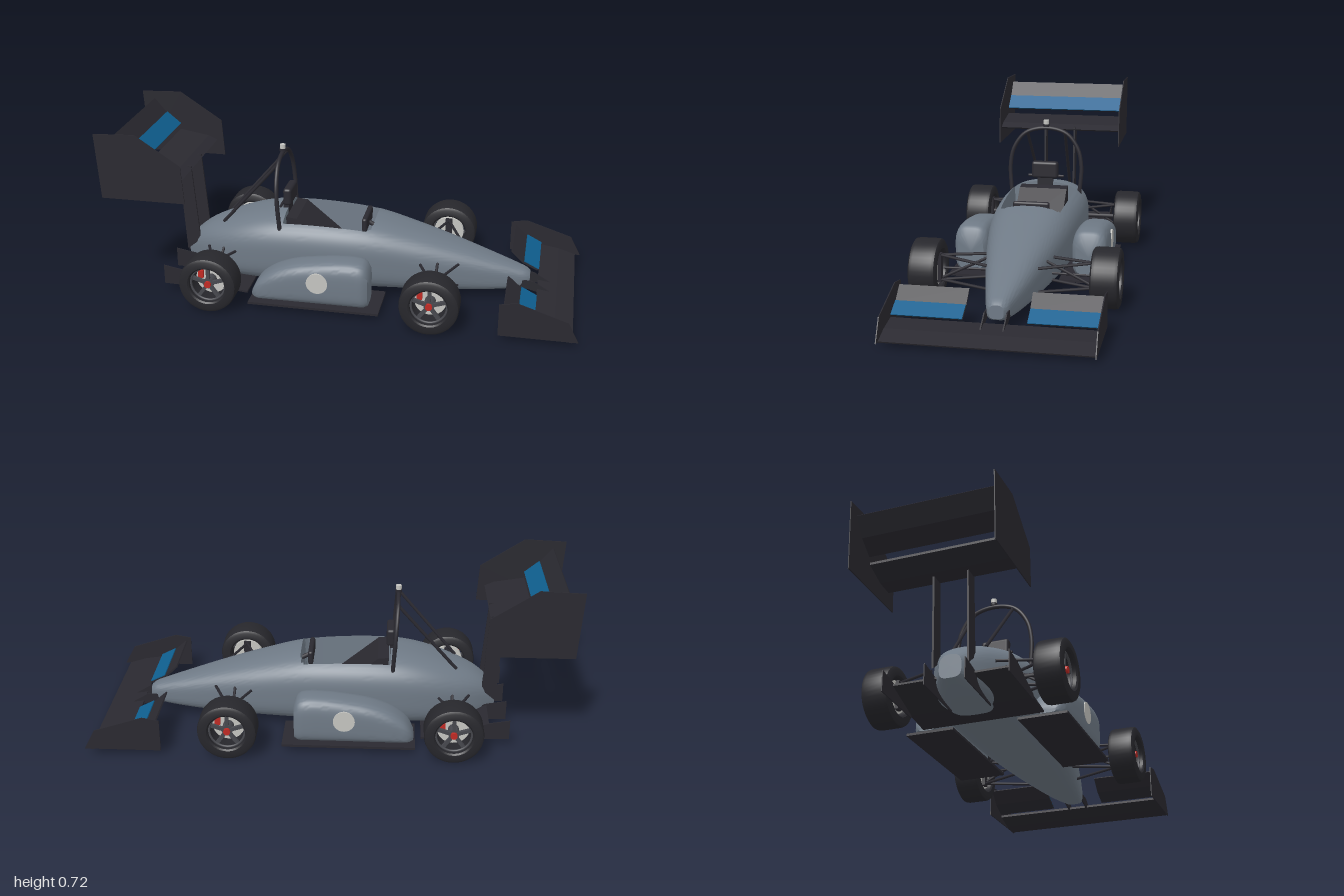
import * as THREE from 'three';
import { toCreasedNormals } from 'three/addons/utils/BufferGeometryUtils.js';
import { RoundedBoxGeometry } from 'three/addons/geometries/RoundedBoxGeometry.js';

const paint = (name, color, side = THREE.FrontSide) => {
  const m = new THREE.MeshStandardMaterial({ color, side });
  m.name = name;
  return m;
};
const bodyGrey = paint('body grey', 0x6f7a86);
const carbon = paint('dark carbon', 0x2a2930);
const rubber = paint('tyre rubber', 0x27272c);
const blue = paint('stripe blue', 0x0f5f8f);
const silver = paint('silver', 0xc4c4c0);
const red = paint('red', 0xc02a24);
const rimGrey = paint('rim grey', 0x47484e);

const V = (x, y, z) => new THREE.Vector3(x, y, z);

function add(parent, name, geometry, material, x = 0, y = 0, z = 0) {
  const mesh = new THREE.Mesh(geometry, material);
  mesh.name = name;
  mesh.position.set(x, y, z);
  parent.add(mesh);
  return mesh;
}

// Side-view outline extruded across z, centred on the given z
function plate(parent, name, pts, width, z, material) {
  const shape = new THREE.Shape(pts.map(([x, y]) => new THREE.Vector2(x, y)));
  const geo = new THREE.ExtrudeGeometry(shape, { depth: width, bevelEnabled: false });
  return add(parent, name, geo, material, 0, 0, z - width / 2);
}

// Straight round rod between two points
function rod(parent, name, a, b, r, material = carbon) {
  const mesh = add(parent, name, new THREE.CylinderGeometry(r, r, a.distanceTo(b), 8), material);
  mesh.position.copy(a).lerp(b, 0.5);
  mesh.quaternion.setFromUnitVectors(V(0, 1, 0), b.clone().sub(a).normalize());
  return mesh;
}

// Loft of superellipse sections; rows are [x, half width, bottom, top]
function loft(rows, xs, power, sides, cz = 0, reshape = null) {
  const spline = new THREE.CubicInterpolant(
    new Float32Array(rows.map(r => r[0])), new Float32Array(rows.flatMap(r => r.slice(1))), 3);
  const pos = [], index = [];
  for (const x of xs) {
    const [w, lo, hi] = spline.evaluate(x);
    for (let j = 0; j < sides; j++) {
      const a = j / sides * Math.PI * 2, c = Math.cos(a), s = Math.sin(a);
      const e = 2 / (s < 0 ? power + 1 : power);
      const u = Math.sign(c) * Math.abs(c) ** e, v = Math.sign(s) * Math.abs(s) ** e;
      let y = (lo + hi) / 2 + v * (hi - lo) / 2;
      if (reshape) y = reshape(x, y, u, v);
      pos.push(x, y, cz + w * u);
    }
  }
  const n = xs.length;
  for (let i = 0; i < n - 1; i++) for (let j = 0; j < sides; j++) {
    const k = (j + 1) % sides, a = i * sides, b = a + sides;
    index.push(a + j, b + j, b + k, a + j, b + k, a + k);
  }
  // end caps
  for (const [i, front] of [[0, false], [n - 1, true]]) {
    const [, lo, hi] = spline.evaluate(xs[i]), c = pos.length / 3, o = i * sides;
    pos.push(xs[i], (lo + hi) / 2, cz);
    for (let j = 0; j < sides; j++) {
      const k = (j + 1) % sides;
      index.push(c, o + (front ? k : j), o + (front ? j : k));
    }
  }
  const geo = new THREE.BufferGeometry();
  geo.setAttribute('position', new THREE.Float32BufferAttribute(pos, 3));
  geo.setIndex(index);
  return toCreasedNormals(geo, 0.7);
}

const range = (a, b, n) => Array.from({ length: n + 1 }, (_, i) => a + (b - a) * i / n);

function buildWheel(parent, name, x, z) {
  const wheel = new THREE.Group();
  wheel.name = name;
  wheel.position.set(x, 0.121, z);
  if (z < 0) wheel.rotation.y = Math.PI;
  parent.add(wheel);
  const profile = [[0.076, -0.05], [0.082, -0.056], [0.108, -0.056], [0.118, -0.05], [0.121, -0.038],
    [0.121, 0.038], [0.118, 0.05], [0.108, 0.056], [0.082, 0.056], [0.076, 0.05], [0.076, -0.05]];
  const tyre = new THREE.LatheGeometry(profile.map(p => new THREE.Vector2(...p)), 40);
  add(wheel, 'tyre', toCreasedNormals(tyre.rotateX(Math.PI / 2), 0.7), rubber);
  const disc = (label, r, d, mat, dz) =>
    add(wheel, label, new THREE.CylinderGeometry(r, r, d, 32).rotateX(Math.PI / 2), mat, 0, 0, dz);
  disc('brakeDisc', 0.066, 0.02, silver, -0.03);
  disc('hub', 0.022, 0.06, rimGrey, 0);
  disc('wheelNut', 0.014, 0.016, red, 0.036);
  add(wheel, 'rimRing', new THREE.TorusGeometry(0.073, 0.005, 8, 32), rimGrey, 0, 0, 0.032);
  for (let i = 0; i < 5; i++) {
    const a = Math.PI / 2 + i * Math.PI * 0.4;
    const spoke = add(wheel, 'spoke', new THREE.BoxGeometry(0.064, 0.014, 0.014), rimGrey,
      Math.cos(a) * 0.043, Math.sin(a) * 0.043, 0.026);
    spoke.rotation.z = a;
  }
  add(wheel, 'brakeCaliper', new THREE.BoxGeometry(0.022, 0.032, 0.03), red, -0.044, 0.02, -0.022);
}

export function createModel() {
  const car = new THREE.Group();
  car.name = 'raceCar';

  // Body shell with a sunken cockpit
  const bodyRows = [
    [-0.7, 0.045, 0.07, 0.165], [-0.62, 0.1, 0.045, 0.23], [-0.5, 0.152, 0.032, 0.283], [-0.38, 0.18, 0.03, 0.32],
    [-0.26, 0.19, 0.03, 0.338], [0, 0.184, 0.03, 0.336], [0.13, 0.172, 0.03, 0.322], [0.3, 0.145, 0.03, 0.281],
    [0.46, 0.113, 0.032, 0.235], [0.62, 0.078, 0.038, 0.183], [0.74, 0.048, 0.05, 0.142], [0.77, 0.039, 0.056, 0.13],
    [0.785, 0.028, 0.065, 0.118]];
  const xs = [...range(-0.7, -0.26, 18), -0.252, ...range(-0.25, 0.1, 12), 0.112, 0.122, 0.127, 0.13,
    ...range(0.145, 0.74, 22), 0.755, 0.77, 0.78, 0.785];
  const cockpit = (x, y, u, v) => {
    const open = x > 0.125 ? 0 : x > 0.115 ? 0.52 : x > 0.105 ? 0.64 : 0.72;
    return v > 0 && x > -0.251 && Math.abs(u) < open ? 0.13 : y;
  };
  add(car, 'body', loft(bodyRows, xs, 2.6, 96, 0, cockpit), bodyGrey);

  // Cockpit fittings
  plate(car, 'seat', [[-0.245, 0.12], [-0.02, 0.12], [-0.02, 0.17], [-0.2, 0.32], [-0.245, 0.325]], 0.21, 0, carbon);
  add(car, 'headrest', new RoundedBoxGeometry(0.036, 0.075, 0.118, 3, 0.012), carbon, -0.252, 0.393, 0);
  add(car, 'headrestMount', new THREE.BoxGeometry(0.025, 0.06, 0.07), carbon, -0.262, 0.34, 0);
  add(car, 'steeringWheel', new RoundedBoxGeometry(0.022, 0.06, 0.155, 2, 0.009), carbon, 0.085, 0.3, 0);
  rod(car, 'steeringColumn', V(0.085, 0.29, 0), V(0.14, 0.26, 0), 0.01);

  // Roll hoop, braces and camera
  const hoop = new THREE.CatmullRomCurve3([[0.153, 0.28], [0.16, 0.41], [0.142, 0.49], [0.09, 0.555], [0, 0.577],
    [-0.09, 0.555], [-0.142, 0.49], [-0.16, 0.41], [-0.153, 0.28]].map(([z, y]) => V(-0.262 - (y - 0.28) * 0.06, y, z)));
  add(car, 'rollHoop', new THREE.TubeGeometry(hoop, 48, 0.009, 10), carbon);
  add(car, 'cameraBase', new THREE.CylinderGeometry(0.014, 0.014, 0.012, 16), carbon, -0.28, 0.588, 0);
  add(car, 'camera', new THREE.CylinderGeometry(0.012, 0.012, 0.022, 16), silver, -0.28, 0.601, 0);
  rod(car, 'headrestBar', V(-0.275, 0.36, -0.08), V(-0.275, 0.36, 0.08), 0.006);

  // Rear wing
  plate(car, 'rearMainPlane', [[-0.66, 0.5], [-0.7, 0.518], [-0.83, 0.54], [-0.83, 0.53], [-0.74, 0.498], [-0.67, 0.493]],
    0.572, 0, carbon);
  plate(car, 'rearFlap', [[-0.945, 0.68], [-0.893, 0.617], [-0.83, 0.565], [-0.84, 0.56], [-0.903, 0.605], [-0.95, 0.675]],
    0.572, 0, carbon);
  plate(car, 'rearFlapStripe', [[-0.893, 0.617], [-0.83, 0.565], [-0.828, 0.568], [-0.89, 0.62]], 0.57, 0, blue);

  // Front wing
  plate(car, 'frontMainPlane', [[0.973, 0.024], [0.9, 0.047], [0.818, 0.06], [0.818, 0.05], [0.9, 0.026], [0.97, 0.018]],
    0.784, 0, carbon);

  // Rear floor with rising diffuser
  plate(car, 'diffuser', [[-0.385, 0.032], [-0.5, 0.045], [-0.665, 0.1], [-0.665, 0.092], [-0.5, 0.037], [-0.385, 0.024]],
    0.5, 0, carbon);

  const podRows = [[-0.353, 0.035, 0.035, 0.062], [-0.335, 0.056, 0.03, 0.1], [-0.29, 0.068, 0.03, 0.145],
    [-0.2, 0.073, 0.03, 0.19], [-0.08, 0.074, 0.03, 0.215], [0.02, 0.074, 0.03, 0.226], [0.09, 0.073, 0.03, 0.225],
    [0.125, 0.068, 0.03, 0.213], [0.14, 0.055, 0.036, 0.19]];

  for (const s of [1, -1]) {
    const side = new THREE.Group();
    side.name = s > 0 ? 'leftSide' : 'rightSide';
    car.add(side);

    // Sidepod, roundel and floor
    add(side, 'sidepod', loft(podRows, range(-0.353, 0.14, 36), 3.2, 48, s * 0.251), bodyGrey);
    add(side, 'roundel', new THREE.CylinderGeometry(0.045, 0.045, 0.008, 32).rotateX(Math.PI / 2), silver,
      -0.067, 0.138, s * 0.3225);
    add(side, 'sideFloor', new THREE.BoxGeometry(0.55, 0.01, 0.2), carbon, -0.085, 0.025, s * 0.235);

    // Wing end plates and supports
    plate(side, 'rearEndPlate', [[-1, 0.71], [-0.823, 0.717], [-0.636, 0.593], [-0.626, 0.43], [-0.984, 0.43]],
      0.004, s * 0.286, carbon);
    plate(side, 'rearWingPylon', [[-0.72, 0.51], [-0.665, 0.51], [-0.64, 0.17], [-0.7, 0.12]], 0.008, s * 0.07, carbon);
    plate(side, 'frontEndPlate', [[0.68, 0.022], [0.995, 0.022], [0.95, 0.107], [0.75, 0.172], [0.68, 0.16]],
      0.004, s * 0.393, carbon);
    plate(side, 'frontWingPylon', [[0.7, 0.095], [0.8, 0.093], [0.88, 0.045], [0.82, 0.045], [0.7, 0.075]],
      0.005, s * 0.042, carbon);
    plate(side, 'frontFlap', [[0.7, 0.148], [0.754, 0.1], [0.818, 0.068], [0.812, 0.062], [0.748, 0.092], [0.696, 0.143]],
      0.272, s * 0.256, carbon);
    plate(side, 'frontFlapStripe', [[0.754, 0.1], [0.818, 0.068], [0.82, 0.071], [0.756, 0.104]], 0.27, s * 0.256, blue);
    for (const z of [0.08, 0.248])
      plate(side, 'diffuserFin', [[-0.75, 0.12], [-0.75, 0.035], [-0.5, 0.028], [-0.5, 0.05], [-0.665, 0.105]],
        0.004, s * z, carbon);

    rod(side, 'rollHoopBrace', V(-0.28, 0.555, s * 0.085), V(-0.53, 0.265, s * 0.07), 0.007);

    // Wheels and suspension
    for (const [name, x, z, inner, spread] of [['front', 0.404, 0.36, 0.1, 0.085], ['rear', -0.513, 0.347, 0.13, 0.07]]) {
      buildWheel(side, name + 'Wheel', x, s * z);
      for (const [y, yIn] of [[0.178, 0.17], [0.075, 0.075]])
        for (const d of [-1, 1])
          rod(side, name + 'Wishbone', V(x, y, s * (z - 0.05)), V(x + d * spread, yIn, s * inner), 0.006);
      rod(side, name + 'Pushrod', V(x, 0.085, s * (z - 0.06)), V(x, 0.185, s * inner), 0.006);
      add(side, name + 'Upright', new THREE.BoxGeometry(0.03, 0.12, 0.02), carbon, x, 0.125, s * (z - 0.045));
    }
    rod(side, 'steeringRod', V(0.36, 0.11, s * 0.31), V(0.35, 0.11, s * 0.1), 0.005);
    rod(side, 'driveShaft', V(-0.513, 0.121, s * 0.31), V(-0.513, 0.121, s * 0.1), 0.01);
  }
  return car;
}
